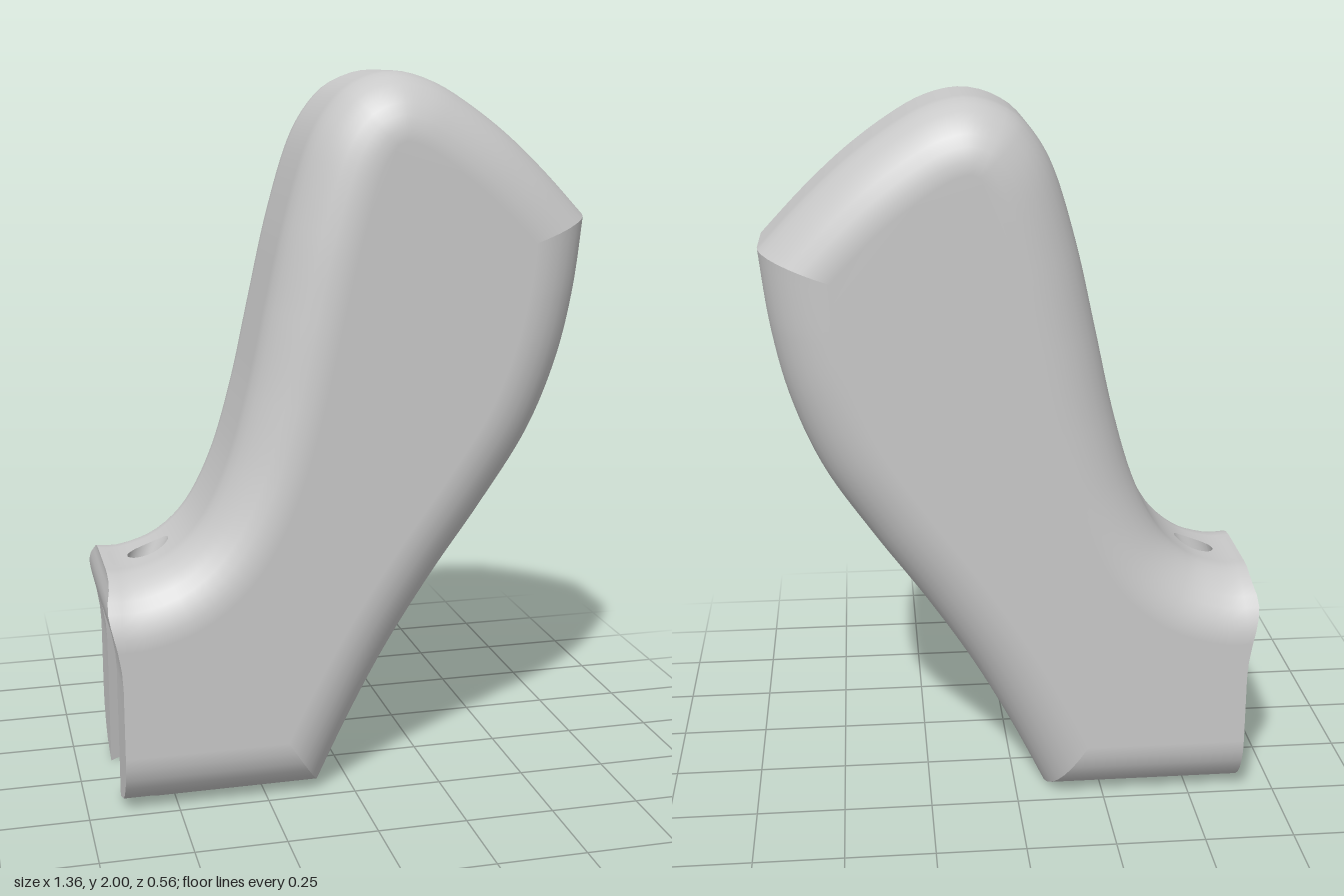
import * as THREE from 'three';

const R = 0.18, FLAT = 0.1025, STEPS = 8;   // edge rounding, flat half width
const LEDGE = 0.667, SLOT_X = -0.55;        // ledge height, slot back wall
const V2 = (x, y) => new THREE.Vector2(x, y);
const lerp = THREE.MathUtils.lerp;

// a step of the edge rounding: inset from the outline and half width
const roundStep = j => {
  const a = (j / STEPS) * Math.PI / 2;
  return { a, d: R * (1 - Math.cos(a)), z: FLAT + R * Math.sin(a) };
};
const round = Array.from({ length: STEPS + 1 }, (_, j) => roundStep(j));
const layers = [...round.map(l => ({ a: -l.a, d: l.d, z: -l.z })).reverse(), ...round];

// dovetail slot: narrow mouth, wide back
const MOUTH = roundStep(0.5), BACK = round[2], SLOT_TOP = LEDGE - R;

// profile of the end face: x for a height y
const endProfile = [[0, -0.65], [0.38, -0.65], [0.43, -0.653], [0.487, -0.662], [0.55, -0.677],
  [0.59, -0.683], [0.62, -0.679], [0.645, -0.67], [0.667, -0.67]];
function endX(y) {
  for (let i = 1; i < endProfile.length; i++) {
    const [y0, x0] = endProfile[i - 1], [y1, x1] = endProfile[i];
    if (y <= y1) return lerp(x0, x1, (y - y0) / (y1 - y0));
  }
  return -0.67;
}

// grid of quads from a rule giving position p and optional normal n
function grid(rows, cols, rule, skip = () => false) {
  const pos = [], nor = [], idx = [];
  for (let i = 0; i <= rows; i++) for (let j = 0; j <= cols; j++) {
    const { p, n } = rule(i, j);
    pos.push(...p);
    if (n) nor.push(...n);
    if (i < rows && j < cols && !skip(i, j)) {
      const a = i * (cols + 1) + j, c = a + cols + 1;
      idx.push(a, a + 1, c, a + 1, c + 1, c);
    }
  }
  const g = new THREE.BufferGeometry();
  g.setAttribute('position', new THREE.Float32BufferAttribute(pos, 3));
  g.setIndex(idx);
  if (nor.length) g.setAttribute('normal', new THREE.Float32BufferAttribute(nor, 3));
  else g.computeVertexNormals();
  return g;
}
const quad = (a, b, c, d) => grid(1, 1, (i, j) => ({ p: [[a, b], [d, c]][i][j] }));

// sample one side of the outline with tangents, normals and distances
function sampleSide(curve, count) {
  const len = curve.getLength();
  return Array.from({ length: count + 1 }, (_, i) => {
    const u = i / count, p = curve.getPointAt(u), t = curve.getTangentAt(u);
    return { p, t, n: V2(-t.y, t.x), s: u * len, e: (1 - u) * len };
  });
}
const spline = points => new THREE.SplineCurve(points.map(q => V2(...q)));

export function createModel() {
  const group = new THREE.Group();
  const grey = new THREE.MeshStandardMaterial({ color: 0xc8c8c8, side: THREE.DoubleSide });
  grey.name = 'grey';
  const add = (name, geometry) => {
    const m = new THREE.Mesh(geometry, grey);
    m.name = name;
    group.add(m);
    return m;
  };

  // outline sides, clockwise from the ledge
  const upper = sampleSide(spline([[-0.67, 0.667], [-0.6, 0.667], [-0.5, 0.703], [-0.41, 0.79],
    [-0.335, 0.94], [-0.275, 1.14], [-0.223, 1.37], [-0.17, 1.6], [-0.105, 1.81], [-0.035, 1.925],
    [0.04, 1.98], [0.13, 2], [0.23, 1.978], [0.33, 1.923], [0.45, 1.835], [0.565, 1.73],
    [0.68, 1.61]]), 80);
  upper[0].t = V2(1, 0);
  upper[0].n = V2(0, 1);
  const lower = sampleSide(spline([[0.68, 1.61], [0.655, 1.4], [0.608, 1.2], [0.525, 1],
    [0.395, 0.8], [0.255, 0.605], [0.125, 0.405], [0.015, 0.205], [-0.085, 0]]), 50);
  const bottom = sampleSide(new THREE.LineCurve(V2(-0.085, 0), V2(-0.65, 0)), 8);
  bottom[7].p.x = SLOT_X;
  const sides = [upper, lower, bottom];

  // inset of an outline point, mitred where two sides meet
  const miter = (a, b) => Math.abs(a.cross(b)) / (1 + a.dot(b));
  const corner = [0, miter(upper.at(-1).n, lower[0].n), miter(lower.at(-1).n, bottom[0].n), 0];
  function inset(k, i, d) {
    const q = sides[k][i];
    const taper = s => Math.max(0, 1 - s / 0.4);
    const slide = corner[k] * taper(q.s) - corner[k + 1] * taper(q.e);
    const p = q.p.clone().addScaledVector(q.n, -d).addScaledVector(q.t, slide * d);
    const atEnd = (k === 0 && i === 0) || (k === 2 && i === sides[2].length - 1);
    if (atEnd) p.x = endX(p.y);
    return p;
  }

  // rounded edge strips, leaving room for the screw hole and the slot
  const patchEnd = upper.findIndex(q => q.p.x > -0.44);
  const skips = [
    (i, j) => i < patchEnd && j === STEPS,
    undefined,
    (i, j) => i === 7 && Math.abs(j - STEPS) <= 2,
  ];
  ['upperEdge', 'lowerEdge', 'bottomEdge'].forEach((name, k) => {
    add(name, grid(sides[k].length - 1, layers.length - 1, (i, j) => {
      const { a, d, z } = layers[j], n = sides[k][i].n;
      const normal = [n.x * Math.cos(a), n.y * Math.cos(a), Math.sin(a)];
      const atMouth = k === 2 && i === 8 && Math.abs(z) === BACK.z;
      const p = inset(k, i, atMouth ? MOUTH.d : d);
      return { p: [p.x, p.y, atMouth ? Math.sign(z) * MOUTH.z : z], n: normal };
    }, skips[k]));
  });

  // flat cheeks
  const cheek = [];
  sides.forEach((side, k) => side.forEach((_, i) => {
    if (k === 0 || i > 0) cheek.push(inset(k, i, R));
  }));
  for (const y of [0.38, 0.43]) cheek.push(V2(endX(y), y));
  const cheekGeometry = new THREE.ShapeGeometry(new THREE.Shape(cheek)).translate(0, 0, FLAT + R);
  add('frontCheek', cheekGeometry);
  add('backCheek', cheekGeometry).scale.z = -1;

  // end face and slot wall on either side of the slot
  const low = [[MOUTH.d, MOUTH.z], ...round.slice(3).map(l => [l.d, l.z]),
    ...[0.38, 0.43, SLOT_TOP].map(y => [y, FLAT + R])];
  for (const s of [-1, 1]) {
    add('endFace', grid(low.length - 1, 1, (i, j) => {
      const [y, w] = low[i];
      return { p: [endX(y), y, s < 0 ? [-w, -MOUTH.z][j] : [MOUTH.z, w][j]] };
    }));
    add('slotWall', grid(low.length - 1, 1, (i, j) => {
      const y = low[i][0];
      return { p: j ? [SLOT_X, Math.max(y, BACK.d), s * BACK.z] : [endX(y), y, s * MOUTH.z] };
    }));
  }

  // end face above the slot, then the slot's back and top
  const high = round.map(l => [LEDGE - l.d, l.z]).reverse();
  add('endFaceTop', grid(high.length - 1, 1, (i, j) => ({
    p: [endX(high[i][0]), high[i][0], (j ? 1 : -1) * high[i][1]],
  })));
  const xt = endX(SLOT_TOP);
  add('slotBack', quad([SLOT_X, BACK.d, -BACK.z], [SLOT_X, BACK.d, BACK.z],
    [SLOT_X, SLOT_TOP, BACK.z], [SLOT_X, SLOT_TOP, -BACK.z]));
  add('slotTop', quad([xt, SLOT_TOP, -MOUTH.z], [SLOT_X, SLOT_TOP, -BACK.z],
    [SLOT_X, SLOT_TOP, BACK.z], [xt, SLOT_TOP, MOUTH.z]));

  // ledge surface around the screw hole
  function ledge(x) {
    let i = 1;
    while (i < patchEnd && upper[i].p.x < x) i++;
    const a = upper[i - 1], b = upper[i], f = (x - a.p.x) / (b.p.x - a.p.x);
    return { y: lerp(a.p.y, b.p.y, f), n: a.n.clone().lerp(b.n, f).normalize() };
  }
  const N = patchEnd, hx = -0.54;
  const around = i => {
    const m = i % N, across = lerp(FLAT, -FLAT, m / N);
    const [x, z] = [
      [upper[m].p.x, FLAT], [upper[N].p.x, across],
      [upper[N - m].p.x, -FLAT], [upper[0].p.x, -across],
    ][Math.floor(i / N) % 4];
    const t = Math.atan2(z, x - hx), c = Math.cos(t), s = Math.sin(t);
    return { x, z, c, s, ex: hx + 0.058 * c, ez: 0.047 * s };
  };
  add('ledge', grid(4 * N, 5, (i, j) => {
    const q = around(i), x = lerp(q.ex, q.x, j / 5), z = lerp(q.ez, q.z, j / 5), l = ledge(x);
    return { p: [x, l.y, z], n: [l.n.x, l.n.y, 0] };
  }));

  // slanted bore of the screw hole
  add('screwHole', grid(4 * N, 1, (i, j) => {
    const q = around(i);
    return { p: j ? [-0.615 + 0.036 * q.c, SLOT_TOP, 0.036 * q.s] : [q.ex, ledge(q.ex).y, q.ez] };
  }));
  return group;
}
